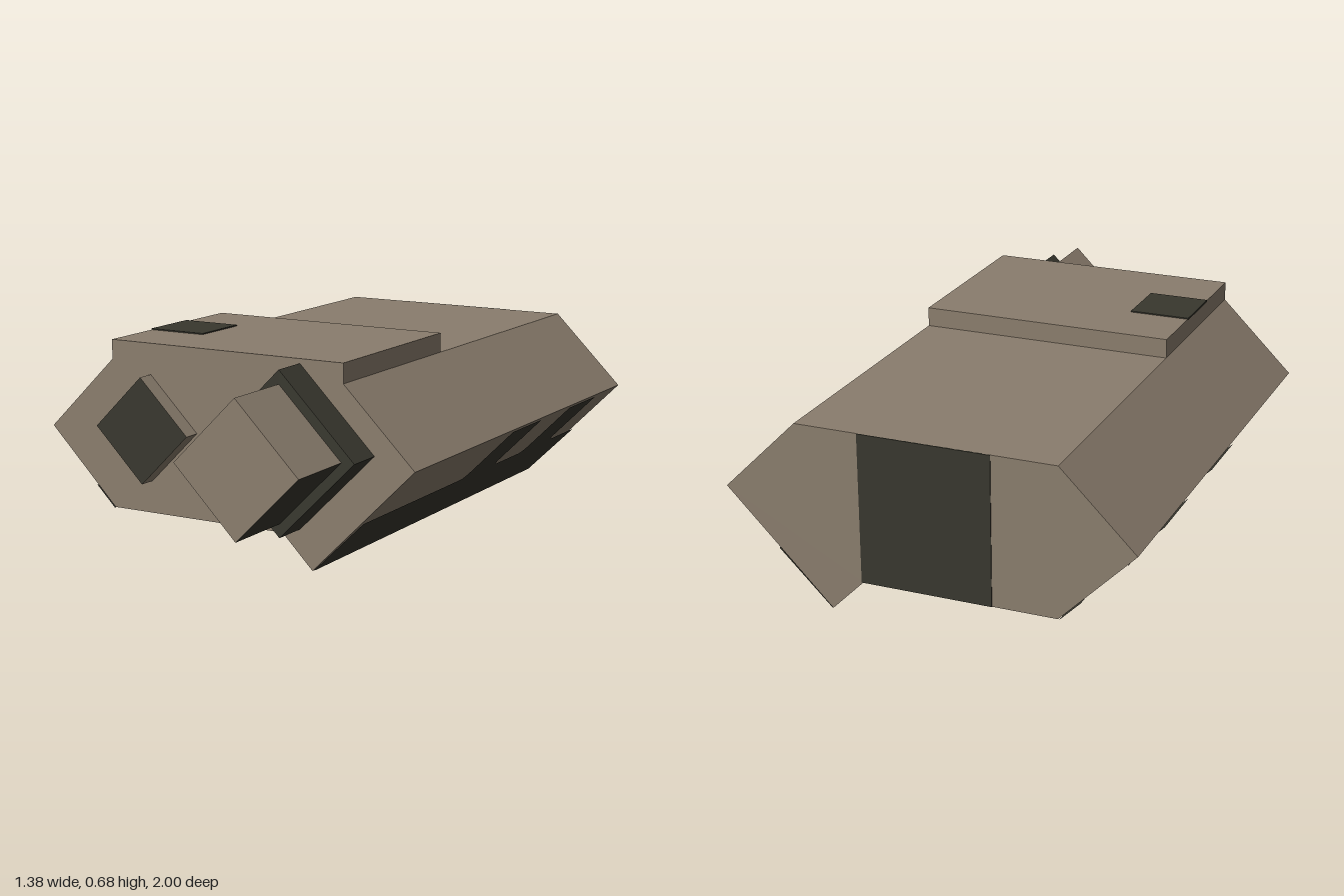
import * as THREE from 'three';

export function createModel() {
  const group = new THREE.Group();
  const tan = new THREE.MeshStandardMaterial({ color: 0x8a7d6d });
  tan.name = 'tan';
  const dark = new THREE.MeshStandardMaterial({ color: 0x38372e });
  dark.name = 'darkOlive';
  const darkSheet = dark.clone();
  darkSheet.name = 'darkOliveSheet';
  darkSheet.side = THREE.DoubleSide;

  const FRONT = 0.625, BACK = -1;

  function add(name, geometry, material) {
    const mesh = new THREE.Mesh(geometry, material);
    mesh.name = name;
    group.add(mesh);
    return mesh;
  }

  // Prism with an x-y outline running between two z positions
  function prism(name, points, z0, z1, material = tan) {
    const shape = new THREE.Shape(points.map(([x, y]) => new THREE.Vector2(x, y)));
    const geo = new THREE.ExtrudeGeometry(shape, { depth: z1 - z0, bevelEnabled: false });
    geo.translate(0, 0, z0);
    return add(name, geo, material);
  }

  function box(name, [x0, x1], [y0, y1], [z0, z1], material) {
    const geo = new THREE.BoxGeometry(x1 - x0, y1 - y0, z1 - z0);
    geo.translate((x0 + x1) / 2, (y0 + y1) / 2, (z0 + z1) / 2);
    return add(name, geo, material);
  }

  // Square block standing on its corner
  function diamond(name, x, y, half, z0, z1, material) {
    const side = half * Math.SQRT2;
    const mesh = add(name, new THREE.BoxGeometry(side, side, z1 - z0), material);
    mesh.rotation.z = Math.PI / 4;
    mesh.position.set(x, y, (z0 + z1) / 2);
    return mesh;
  }

  // Hexagonal housing with its lower keel
  prism('body', [
    [-0.435, 0.11], [0.215, 0.11], [0.325, 0], [0.685, 0.362],
    [0.435, 0.61], [-0.435, 0.61], [-0.685, 0.362],
  ], BACK, FRONT);

  // Raised plates above and below
  box('topPlate', [-0.435, 0.435], [0.6, 0.675], [-0.03, FRONT], tan);
  box('bottomPlate', [-0.435, 0.32], [0, 0.12], [-0.37, 0.1], tan);

  // Painted panels on top and back
  box('topWindow', [-0.437, -0.23], [0.672, 0.679], [0.19, 0.4], dark);
  box('backPanel', [-0.22, 0.22], [0.11, 0.61], [-1.003, -0.997], dark);

  // Dark grip panel on each lower slope, with two upright bars and rounded inner corners
  function gripPanel(name, side, bottom) {
    const r = 0.03, base = 0.18, top = 0.36;
    const s = new THREE.Shape();
    s.moveTo(BACK, bottom);
    s.lineTo(FRONT, bottom);
    s.lineTo(FRONT, base);
    for (const [z0, z1] of [[-0.07, -0.3], [-0.54, -0.77]]) {
      s.lineTo(z0 + r, base);
      s.quadraticCurveTo(z0, base, z0, base + r);
      s.lineTo(z0, top);
      s.lineTo(z1, top);
      s.lineTo(z1, base + r);
      s.quadraticCurveTo(z1, base, z1 - r, base);
    }
    s.lineTo(BACK, base);
    const geo = new THREE.ShapeGeometry(s, 6);
    const pos = geo.attributes.position;
    for (let i = 0; i < pos.count; i++) {
      const z = pos.getX(i), y = pos.getY(i);
      pos.setXYZ(i, side * (0.325 + y + 0.003), y - 0.003 * (y > 0 ? 1 : 0), z);
    }
    geo.computeVertexNormals();
    add(name, geo, darkSheet);
  }
  gripPanel('leftGripPanel', 1, 0);
  gripPanel('rightGripPanel', -1, 0.11);

  // Front sensors: faces in order upper left-side, lower right-side, upper right-side, lower left-side, front, back
  diamond('smallLens', -0.283, 0.395, 0.177, 0.6, 0.685, [tan, tan, tan, tan, dark, tan]);
  diamond('lensCollar', 0.28, 0.395, 0.265, 0.6, 0.75, dark);
  diamond('lensBarrel', 0.28, 0.395, 0.22, 0.7, 1, [tan, dark, tan, dark, tan, tan]);

  return group;
}
